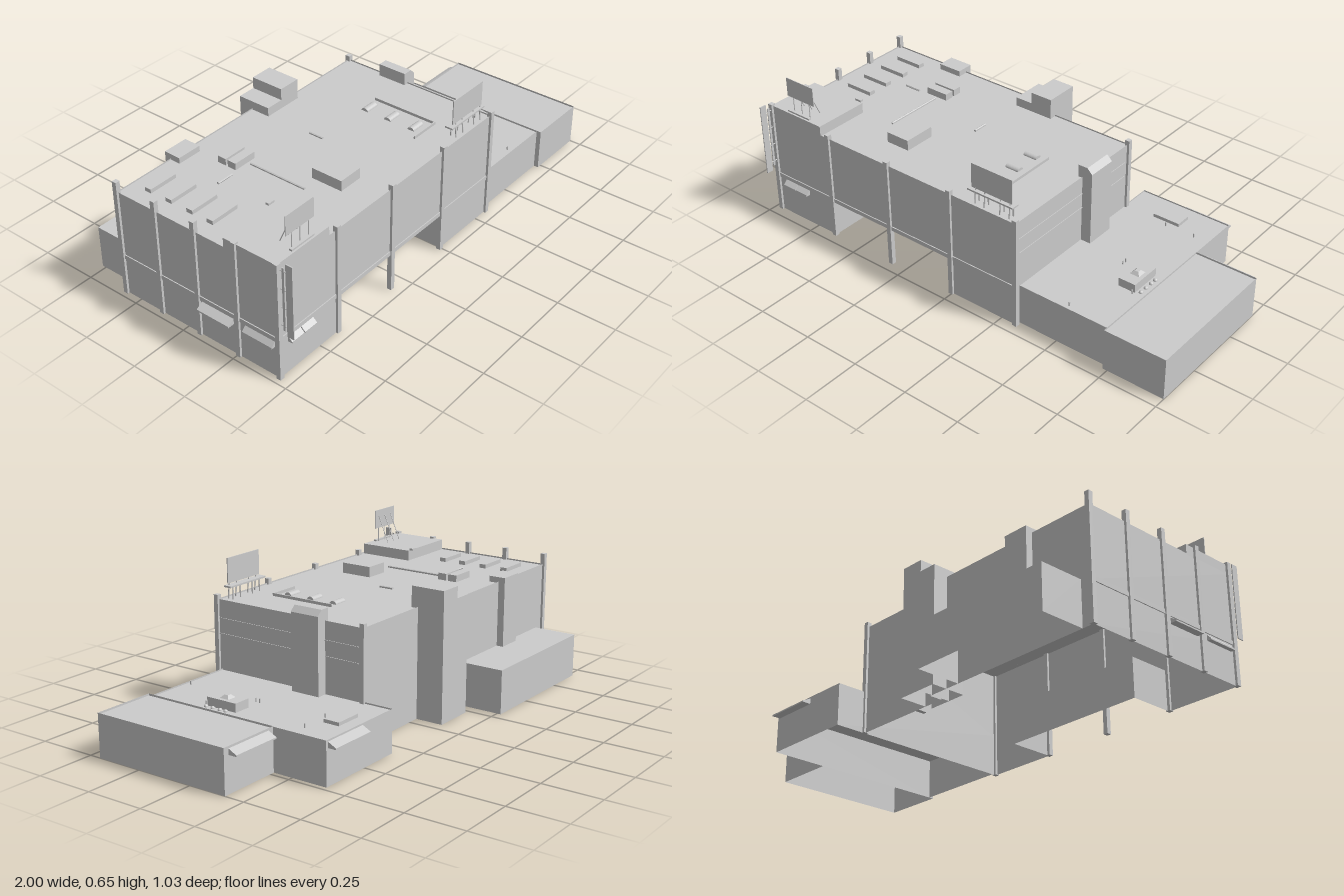
import * as THREE from 'three';

const mat = new THREE.MeshStandardMaterial({ color: 0xcccccc, side: THREE.DoubleSide, flatShading: true });

export function createModel() {
  const model = new THREE.Group();
  const add = (name, geo) => {
    const mesh = new THREE.Mesh(geo, mat);
    mesh.name = name;
    model.add(mesh);
    return mesh;
  };
  // box given by its limits
  const box = (name, x0, x1, y0, y1, z0, z1) =>
    add(name, new THREE.BoxGeometry(x1 - x0, y1 - y0, z1 - z0)
      .translate((x0 + x1) / 2, (y0 + y1) / 2, (z0 + z1) / 2));
  // flat horizontal face over a footprint of [x, z] corners
  const slab = (name, pts, y) =>
    add(name, new THREE.ShapeGeometry(new THREE.Shape(pts.map(([x, z]) => new THREE.Vector2(x, -z))))
      .rotateX(-Math.PI / 2).translate(0, y, 0));
  // walls without floor or lid; corners run counter-clockwise seen from above
  const walls = (name, pts, y0, y1) => {
    const pos = [];
    pts.forEach(([x, z], i) => {
      const [u, w] = pts[(i + 1) % pts.length];
      pos.push(x, y0, z, u, y0, w, u, y1, w, x, y0, z, u, y1, w, x, y1, z);
    });
    const geo = new THREE.BufferGeometry();
    geo.setAttribute('position', new THREE.Float32BufferAttribute(pos, 3));
    geo.computeVertexNormals();
    add(name, geo);
  };
  const rect = (x0, x1, z0, z1) => [[x0, z1], [x1, z1], [x1, z0], [x0, z0]];
  // open-bottomed block with its roof
  const block = (name, pts, y0, y1, roof = y1) => {
    walls(name + 'Walls', pts, y0, y1);
    slab(name + 'Roof', pts, roof);
  };
  // thin bar between two points
  const bar = (name, a, b, r = 0.003) => {
    const A = new THREE.Vector3(...a), B = new THREE.Vector3(...b);
    const mesh = add(name, new THREE.CylinderGeometry(r, r, A.distanceTo(B), 6));
    mesh.position.copy(A).add(B).multiplyScalar(0.5);
    mesh.quaternion.setFromUnitVectors(new THREE.Vector3(0, 1, 0), B.sub(A).normalize());
  };
  // sloping wedge awning, running along x, projecting to +z before turning
  const awning = (name, len, depth, x, y, z, turn) => {
    const s = new THREE.Shape([[0, 0], [depth, 0], [depth, 0.006], [0, 0.024]].map(p => new THREE.Vector2(...p)));
    const geo = new THREE.ExtrudeGeometry(s, { depth: len, bevelEnabled: false });
    const mesh = add(name, geo.translate(0, 0, -len / 2).rotateY(-Math.PI / 2));
    mesh.position.set(x, y, z);
    mesh.rotation.y = turn;
  };

  // main building: ground floor set back in the middle, upper floors above
  const back = [[0.32, -0.27], [-0.14, -0.27], [-0.14, -0.325], [-0.97, -0.325]];
  walls('groundFloor', [[-0.97, 0.45], [-0.645, 0.45], [-0.645, 0.25], [0, 0.25], [0, 0.45], [0.32, 0.45], ...back], 0, 0.17);
  slab('overhangSoffit', rect(-0.645, 0, 0.25, 0.45), 0.17);
  block('upperFloors', [[-0.97, 0.45], [0.32, 0.45], ...back], 0.17, 0.468, 0.462);

  // columns on the front and left sides, and the far corner
  const columns = [[0.32, -0.27]];
  for (let i = 0; i < 5; i++) columns.push([-0.97 + i * 0.3225, 0.45]);
  for (let i = 0; i < 4; i++) columns.push([-0.97, -0.325 + i * 0.194]);
  for (const [x, z] of columns)
    box('column', x - 0.01, x + 0.01, 0, x < -0.9 ? 0.515 : 0.487, z - 0.01, z + 0.01);

  // wall bands
  box('frontBand', -0.97, 0.32, 0.165, 0.183, 0.45, 0.454);
  box('leftBand', -0.974, -0.97, 0.165, 0.183, -0.325, 0.45);
  for (const y of [0.325, 0.39]) box('rightBand', 0.32, 0.323, y - 0.002, y + 0.002, -0.25, 0.45);

  // rear blocks, stair tower and shafts
  block('rearAnnex', rect(-0.92, -0.295, -0.517, -0.325), 0, 0.187);
  block('stairTower', rect(-0.15, -0.05, -0.39, -0.24), 0, 0.55);
  block('stairTowerSide', rect(-0.23, -0.15, -0.39, -0.24), 0, 0.5);
  block('rearShaft', rect(-0.69, -0.58, -0.355, -0.28), 0.187, 0.487);
  const duct = new THREE.Shape([[0.3, 0.17], [0.365, 0.17], [0.365, 0.492], [0.342, 0.515], [0.3, 0.515]].map(p => new THREE.Vector2(...p)));
  add('sideDuct', new THREE.ExtrudeGeometry(duct, { depth: 0.13, bevelEnabled: false }).translate(0, 0, -0.092));

  // low wing in two parts
  block('wing', rect(0.32, 0.73, -0.405, 0.43), 0, 0.178, 0.172);
  block('wingEnd', rect(0.73, 1, -0.165, 0.45), 0, 0.18, 0.172);
  awning('wingAwning', 0.21, 0.036, 0.615, 0.147, -0.405 + 0.03, Math.PI);
  model.children.at(-1).position.z = -0.405;
  awning('wingEndAwning', 0.22, 0.036, 0.865, 0.147, -0.165, Math.PI);

  // awnings on the left and front
  awning('leftAwning', 0.155, 0.03, -0.97, 0.135, 0.157, -Math.PI / 2);
  awning('leftAwning', 0.14, 0.018, -0.97, 0.135, 0.36, -Math.PI / 2);
  for (const x of [-0.89, -0.82]) awning('frontAwning', 0.066, 0.02, x, 0.14, 0.45, 0);

  // roof boxes
  block('cornerPenthouse', rect(-0.97, -0.69, 0.205, 0.45), 0.462, 0.507);
  block('roofHut', rect(-0.45, -0.34, 0.17, 0.31), 0.462, 0.507);
  for (const z of [-0.155, -0.105]) box('skylight', -0.59, -0.485, 0.462, 0.491, z - 0.02, z + 0.02);
  for (const z of [-0.24, -0.135, -0.03, 0.07]) box('roofStrip', -0.895, -0.765, 0.462, 0.479, z - 0.015, z + 0.015);

  // fenced plant area with rounded units
  box('plantCurb', 0.132, 0.138, 0.462, 0.474, 0.015, 0.31);
  box('plantCurb', 0, 0.138, 0.462, 0.474, 0.307, 0.312);
  for (const z of [0.035, 0.148, 0.263])
    add('plantUnit', new THREE.CylinderGeometry(0.016, 0.016, 0.062, 12, 1, false, 0, Math.PI)
      .rotateZ(Math.PI / 2).scale(1, 0.8, 1).translate(0.07, 0.463, z));

  // roof pipes
  bar('roofPipe', [-0.528, 0.468, -0.065], [-0.528, 0.468, 0.2], 0.005);
  bar('roofPipe', [-0.7, 0.468, -0.073], [-0.625, 0.468, -0.073], 0.005);
  bar('roofPipe', [-0.225, 0.468, -0.03], [-0.225, 0.468, 0.035], 0.005);
  box('roofVent', -0.73, -0.7, 0.507, 0.516, 0.19, 0.205);

  // front billboard with catwalk, legs and braces
  box('billboard', 0.09, 0.285, 0.527, 0.632, 0.422, 0.426);
  box('catwalk', 0.075, 0.295, 0.513, 0.52, 0.4, 0.435);
  for (const x of [0.11, 0.155, 0.23, 0.275]) {
    bar('billboardLeg', [x, 0.462, 0.43], [x, 0.53, 0.424]);
    bar('billboardLeg', [x, 0.462, 0.405], [x, 0.515, 0.405]);
  }
  // corner billboard on the penthouse
  box('cornerBillboard', -0.892, -0.742, 0.57, 0.653, 0.423, 0.426);
  box('cornerBillboardBase', -0.88, -0.76, 0.507, 0.514, 0.43, 0.442);
  for (const x of [-0.86, -0.815, -0.77]) {
    bar('cornerBillboardLeg', [x, 0.507, 0.424], [x, 0.575, 0.424], 0.002);
    bar('cornerBillboardBrace', [x, 0.507, 0.37], [x, 0.625, 0.422], 0.002);
  }

  // blade sign at the front corner
  box('bladeSign', -0.967, -0.963, 0.21, 0.527, 0.487, 0.517);
  box('bladeSignPost', -0.967, -0.963, 0.23, 0.505, 0.47, 0.48);
  for (const y of [0.25, 0.33, 0.41, 0.49]) bar('bladeSignArm', [-0.965, y, 0.45], [-0.965, y, 0.49], 0.002);

  // wing roof equipment
  box('wingSkylight', 0.455, 0.575, 0.172, 0.186, -0.345, -0.275);
  box('airUnit', 0.61, 0.685, 0.172, 0.208, 0.05, 0.19);
  add('airUnitCap', new THREE.CylinderGeometry(0.012, 0.03, 0.013, 4, 1).rotateY(Math.PI / 4).translate(0.648, 0.214, 0.12));
  for (const z of [0.082, 0.11, 0.145, 0.178])
    add('wingVent', new THREE.SphereGeometry(0.009, 10, 5, 0, Math.PI * 2, 0, Math.PI / 2).translate(0.705, 0.176, z));
  for (const [x, z] of [[0.54, 0.405], [0.545, 0.05], [0.545, 0.068], [0.66, -0.255], [0.68, 0.2], [0.53, -0.25]])
    add('wingPipe', new THREE.CylinderGeometry(0.003, 0.003, 0.018, 8).translate(x, 0.18, z));
  return model;
}
